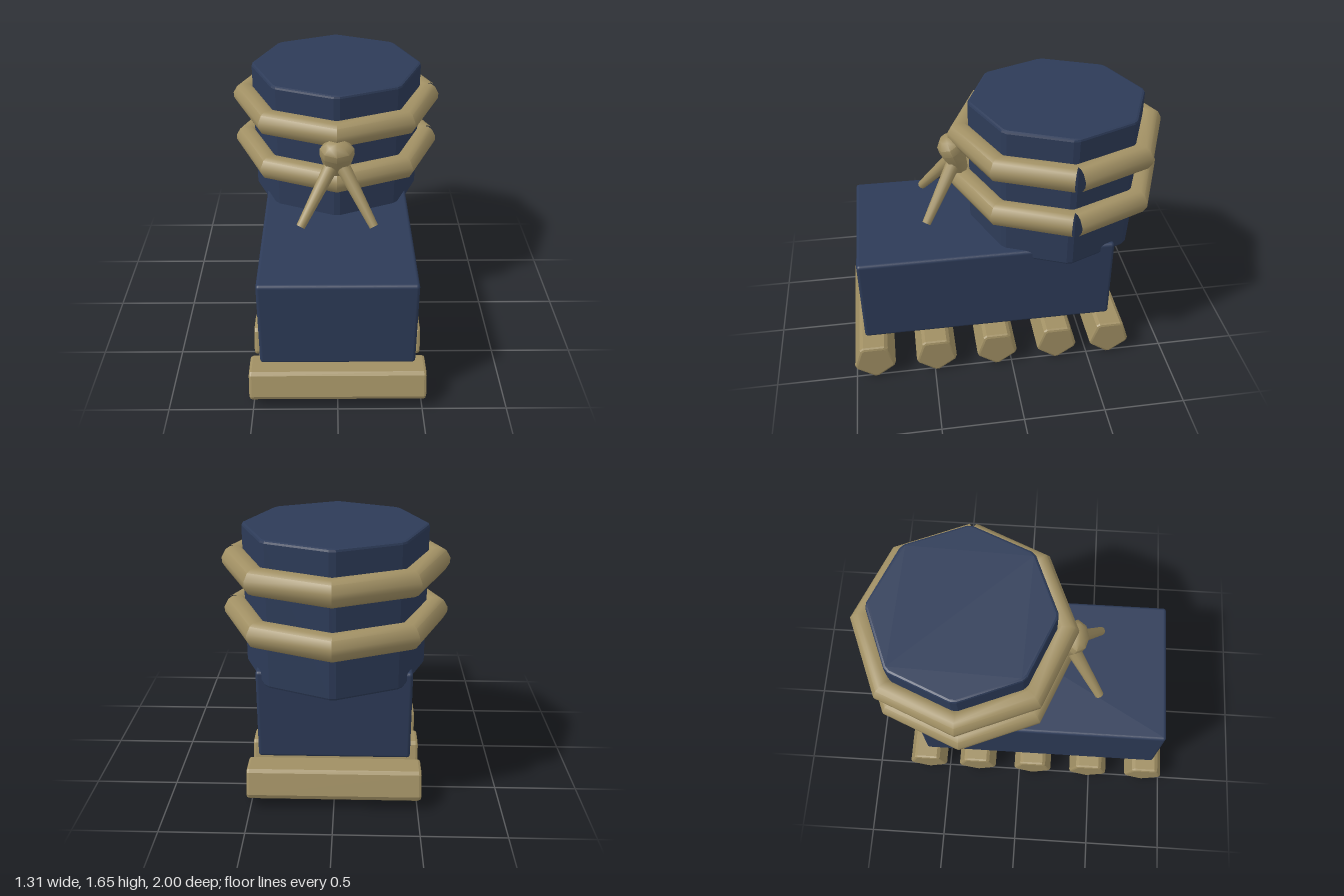
import * as THREE from 'three';
import { toCreasedNormals } from 'three/addons/utils/BufferGeometryUtils.js';
import { RoundedBoxGeometry } from 'three/addons/geometries/RoundedBoxGeometry.js';

// Regular polygon with every corner cut by a small chamfer
function chamferedPolygon(sides, radius, start, cut) {
  const corner = (k) => new THREE.Vector2(
    radius * Math.cos(start + (k / sides) * Math.PI * 2),
    radius * Math.sin(start + (k / sides) * Math.PI * 2));
  const edge = 2 * radius * Math.sin(Math.PI / sides);
  const points = [];
  for (let k = 0; k < sides; k++) {
    points.push(corner(k).lerp(corner(k - 1), cut / edge));
    points.push(corner(k).lerp(corner(k + 1), cut / edge));
  }
  return points;
}

// Prism along z, centred, with bevelled ends inside the outline
function prism(points, length, bevel) {
  const geometry = new THREE.ExtrudeGeometry(new THREE.Shape(points), {
    depth: length - 2 * bevel, bevelEnabled: true, bevelThickness: bevel,
    bevelSize: bevel, bevelOffset: -bevel, bevelSegments: 2,
  });
  geometry.translate(0, 0, bevel - length / 2);
  return toCreasedNormals(geometry, 0.3);
}

// Eight-sided hoop, split at +x with square-cut open ends
function hoopGeometry(radius, profile) {
  const sides = 8, n = profile.length, positions = [], index = [];
  for (let i = 0; i <= sides; i++) {
    const u = (i / sides) * Math.PI * 2;
    const tilt = i === 0 ? Math.PI / 8 : i === sides ? -Math.PI / 8 : 0;
    for (const p of profile) {
      positions.push(
        radius * Math.cos(u) + p.x * Math.cos(u + tilt), p.y,
        radius * Math.sin(u) + p.x * Math.sin(u + tilt));
    }
  }
  for (let i = 0; i < sides; i++) {
    for (let j = 0; j < n; j++) {
      const a = i * n + j, b = i * n + (j + 1) % n;
      index.push(a, b, a + n, b, b + n, a + n);
    }
  }
  const geometry = new THREE.BufferGeometry();
  geometry.setAttribute('position', new THREE.Float32BufferAttribute(positions, 3));
  geometry.setIndex(index);
  return toCreasedNormals(geometry, 0.6);
}

export function createModel() {
  const model = new THREE.Group();
  const navy = new THREE.MeshStandardMaterial({ color: 0x2d3b58 });
  navy.name = 'navy';
  const tan = new THREE.MeshStandardMaterial({ color: 0xa08f63 });
  tan.name = 'tan';

  const add = (name, geometry, material, x, y, z) => {
    const mesh = new THREE.Mesh(geometry, material);
    mesh.name = name;
    mesh.position.set(x, y, z);
    model.add(mesh);
    return mesh;
  };

  // Foot block and octagonal shaft
  add('footBlock', new RoundedBoxGeometry(0.905, 0.56, 1.56, 3, 0.02), navy, 0, 0.57, 0.14);
  const shaft = prism(chamferedPolygon(8, 0.54, 0, 0.02), 0.86, 0.015).rotateX(-Math.PI / 2);
  add('shaft', shaft, navy, 0, 1.22, -0.34);

  // Hoops round the shaft
  const hoop = hoopGeometry(0.583, chamferedPolygon(6, 0.085, 0, 0.018));
  for (const y of [1.435, 1.132]) add('hoop', hoop, tan, 0, y, -0.34);

  // Pentagonal sole bars
  const bar = prism(chamferedPolygon(5, 0.14, -Math.PI / 2, 0.016), 1.04, 0.016).rotateY(Math.PI / 2);
  for (const z of [0.875, 0.485, 0.095, -0.295, -0.643]) add('soleBar', bar, tan, 0, 0.132, z);

  // Knot: a lumpy, forward-leaning bead
  const knotProfile = [[0, -0.125], [0.06, -0.115], [0.085, -0.04], [0.103, 0.04],
    [0.1, 0.085], [0.06, 0.12], [0, 0.125]].map(([r, y]) => new THREE.Vector2(r, y));
  const knot = add('knot', toCreasedNormals(new THREE.LatheGeometry(knotProfile, 8), 0.8), tan, 0, 1.3, 0.285);
  knot.scale.z = 0.75;
  knot.rotation.x = 0.35;

  // Two loose lace ends
  for (const side of [-1, 1]) {
    const top = new THREE.Vector3(side * 0.03, 1.26, 0.29);
    const tip = new THREE.Vector3(side * 0.215, 0.955, 0.485);
    const lace = add('laceEnd', new THREE.CylinderGeometry(0.045, 0.027, top.distanceTo(tip), 10), tan, 0, 0, 0);
    lace.position.copy(top).add(tip).multiplyScalar(0.5);
    lace.quaternion.setFromUnitVectors(new THREE.Vector3(0, 1, 0), top.clone().sub(tip).normalize());
  }

  return model;
}
